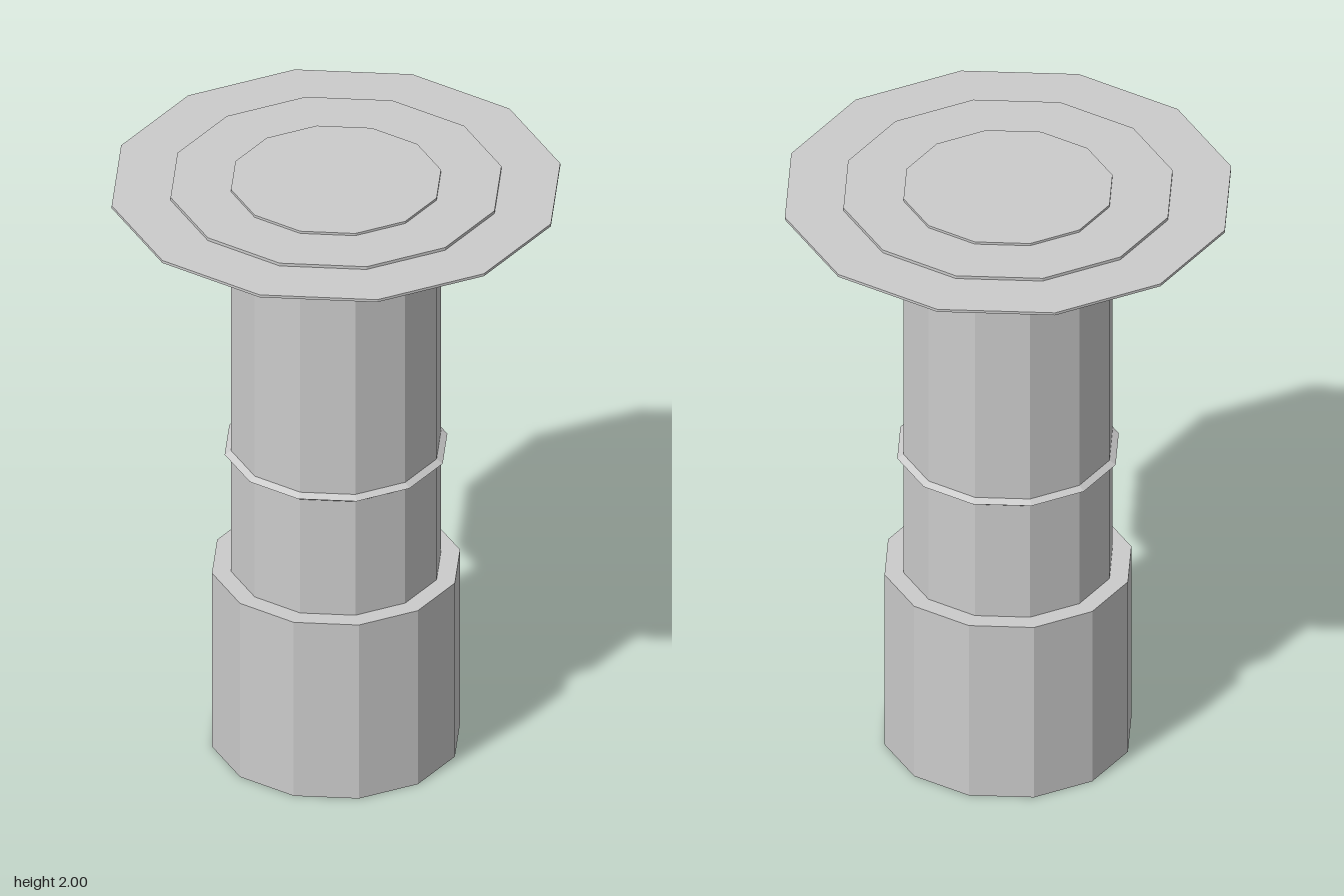
import * as THREE from 'three';

const SIDES = 12;

// Revolves a profile of [radius, height] points into a faceted part
function turned(name, profile, side = THREE.FrontSide) {
  const points = profile.map(([r, y]) => new THREE.Vector2(r, y));
  const material = new THREE.MeshStandardMaterial({ color: 0xcccccc, flatShading: true, side });
  const mesh = new THREE.Mesh(new THREE.LatheGeometry(points, SIDES), material);
  mesh.name = name;
  return mesh;
}

// Flat ring with a rectangular section
function ringProfile(inner, outer, y0, y1) {
  return [[inner, y0], [outer, y0], [outer, y1], [inner, y1]];
}

export function createModel() {
  const group = new THREE.Group();
  group.name = 'flangedPipe';
  const R = 0.33;

  // Hollow pipe, open below and closed at the top
  group.add(turned('pipe', [[R, 0], [R, 2], [0, 2]], THREE.DoubleSide));

  // Thick socket around the foot of the pipe
  group.add(turned('baseSocket', ringProfile(R, 0.39, 0, 0.625)));

  // Thin ridge around the middle, with a pointed edge
  group.add(turned('seamRidge', [[R, 1.034], [0.35, 1.047], [R, 1.06]]));

  // Two stepped flange plates under the top cap
  group.add(turned('wideFlange', ringProfile(R, 0.705, 1.973, 1.982)));
  group.add(turned('narrowFlange', ringProfile(R, 0.52, 1.982, 1.992)));

  return group;
}
